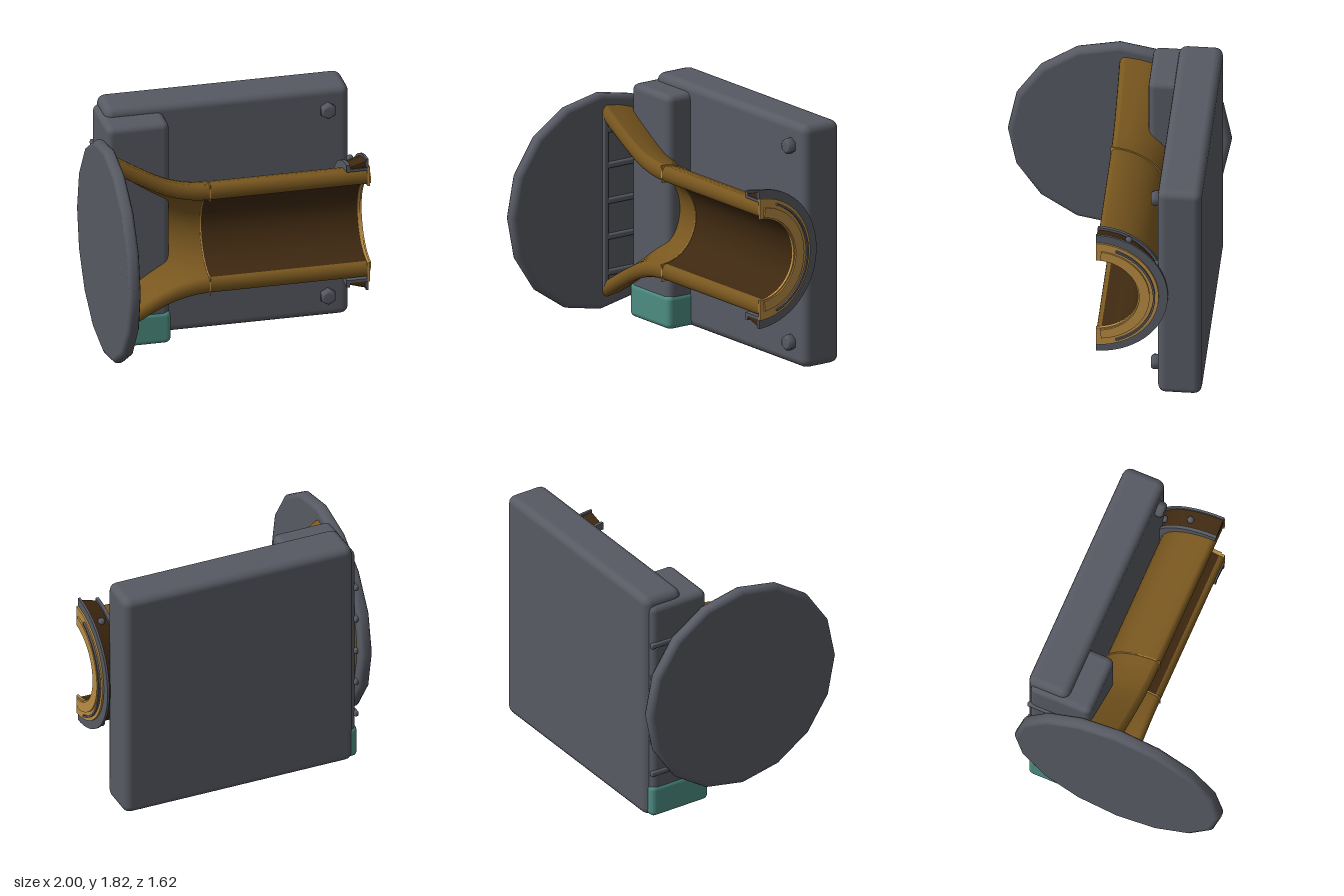
import * as THREE from 'three';
import { RoundedBoxGeometry } from 'three/addons/geometries/RoundedBoxGeometry.js';

const AXIS_Y = 0.91; // height of the horn's axis
const ARC = 20;

const paint = (name, color, side = THREE.FrontSide) => {
  const m = new THREE.MeshStandardMaterial({ color, side });
  m.name = name;
  return m;
};

// Half-tube section of [y, z] points: outer arc, rounded lip, inner arc, rounded lip
function section(ri, ro, lip) {
  const outer = [], inner = [], low = [], high = [];
  const ao = Math.asin(lip / ro), ai = Math.asin(lip / ri);
  for (let i = 0; i <= ARC; i++) {
    const f = i / ARC;
    const a = ao + (Math.PI - 2 * ao) * f;
    const b = Math.PI - ai - (Math.PI - 2 * ai) * f;
    outer.push([ro * Math.cos(a), -ro * Math.sin(a)]);
    inner.push([ri * Math.cos(b), -ri * Math.sin(b)]);
  }
  const y0 = outer[0][0], y1 = inner[ARC][0], mid = (y0 + y1) / 2, half = (y0 - y1) / 2;
  for (let i = 0; i <= 6; i++) {
    const a = Math.PI * i / 6;
    low.push([-mid - half * Math.cos(a), -lip + lip * Math.sin(a)]);
    high.push([mid - half * Math.cos(a), -lip + lip * Math.sin(a)]);
  }
  return { outer, low, inner, high };
}

// Skin a list of { x, pts } cross-sections
function loft(rows) {
  const n = rows[0].pts.length, pos = [], idx = [];
  for (const { x, pts } of rows) for (const [y, z] of pts) pos.push(x, y + AXIS_Y, z);
  for (let i = 0; i < rows.length - 1; i++) {
    for (let j = 0; j < n - 1; j++) {
      const a = i * n + j, b = a + n;
      idx.push(a, b, a + 1, b, b + 1, a + 1);
    }
  }
  const g = new THREE.BufferGeometry();
  g.setAttribute('position', new THREE.Float32BufferAttribute(pos, 3));
  g.setIndex(idx);
  g.computeVertexNormals();
  return g;
}

// Flat-ended half ring around the horn's axis, on the -z side
function halfRing(x0, x1, ri, ro, trim = 0) {
  const a = Math.PI / 2 - trim;
  const s = new THREE.Shape();
  s.absarc(0, 0, ro, -a, a, false);
  s.absarc(0, 0, ri, a, -a, true);
  const g = new THREE.ExtrudeGeometry(s, { depth: x1 - x0, bevelEnabled: false, curveSegments: ARC });
  g.rotateY(Math.PI / 2);
  g.translate(x0, AXIS_Y, 0);
  return g;
}

export function createModel() {
  const model = new THREE.Group();
  const grey = paint('slate grey', 0x575a63);
  const teal = paint('teal', 0x4c8c82);
  const bronze = paint('bronze', 0x79571f, THREE.DoubleSide);
  const dark = paint('dark brown', 0x3e2810, THREE.DoubleSide);
  const light = paint('light brass', 0xb88b44);

  const add = (name, geometry, material, parent = model) => {
    const m = new THREE.Mesh(geometry, material);
    m.name = name;
    parent.add(m);
    return m;
  };
  const block = (name, x0, x1, y0, y1, z0, z1, r, material) =>
    add(name, new RoundedBoxGeometry(x1 - x0, y1 - y0, z1 - z0, 2, r), material)
      .position.set((x0 + x1) / 2, (y0 + y1) / 2, (z0 + z1) / 2);

  // Backing slab, side block and foot
  block('backPlate', -0.87, 0.94, 0, 1.82, -0.76, -0.44, 0.06, grey);
  block('sideBlock', -0.905, -0.44, 0.05, 1.76, -0.73, -0.25, 0.05, grey);
  block('foot', -0.915, -0.43, 0.01, 0.265, -0.735, -0.24, 0.04, teal);

  // Sixteen-sided end disc with a rounded rim
  const rim = [[0, -0.045], [0.77, -0.045], [0.78, -0.045], [0.8, -0.036], [0.81, -0.018],
    [0.81, 0.018], [0.8, 0.036], [0.78, 0.045], [0.77, 0.045], [0, 0.045]];
  const disc = new THREE.LatheGeometry(rim.map(p => new THREE.Vector2(...p)), 16);
  disc.rotateZ(-Math.PI / 2);
  add('endDisc', disc, grey).position.set(-0.955, AXIS_Y, 0);

  // Ladder frame lying on the disc
  const ladder = new THREE.Group();
  ladder.name = 'ladderFrame';
  model.add(ladder);
  add('ladderPost', new RoundedBoxGeometry(0.035, 1.32, 0.04, 2, 0.012), grey, ladder)
    .position.set(-0.902, AXIS_Y, -0.02);
  for (let i = -2; i <= 2; i++) {
    add('ladderRung', new RoundedBoxGeometry(0.035, 0.045, 0.74, 2, 0.015), grey, ladder)
      .position.set(-0.902, AXIS_Y + i * 0.268, -0.37);
  }

  // Flared mouth of the horn
  const flare = new THREE.SplineCurve([[-0.92, 0.725], [-0.75, 0.62], [-0.53, 0.5], [-0.35, 0.445], [-0.2, 0.43]]
    .map(p => new THREE.Vector2(...p))).getPoints(16);
  add('hornFlare', loft(flare.map(p => {
    const s = section(p.y - 0.12, p.y, 0.04);
    return { x: p.x, pts: [...s.outer, ...s.low.slice(1), ...s.inner.slice(1), ...s.high.slice(1)] };
  })), bronze);

  // Straight half tube with a dark bore
  const tube = section(0.31, 0.43, 0.04);
  const straight = pts => loft([-0.2, 0.97].map(x => ({ x, pts })));
  add('tubeShell', straight([...tube.high, ...tube.outer.slice(1), ...tube.low.slice(1)]), bronze);
  add('tubeBore', straight(tube.inner), dark);
  add('jointRing', halfRing(-0.204, -0.196, 0.305, 0.438), light);

  // Brass end face with a raised seam
  add('endFace', halfRing(0.965, 0.985, 0.305, 0.455), light);
  add('endNose', halfRing(0.985, 0.998, 0.315, 0.39, 0.1), light);
  add('endSeam', halfRing(0.98, 1, 0.415, 0.43, 0.35), grey);

  // Collar: two flanges, a sleeve and a dark tapered band with studs
  add('innerFlange', halfRing(0.81, 0.835, 0.43, 0.485), grey);
  add('outerFlange', halfRing(0.955, 0.972, 0.455, 0.52), grey);
  add('collarSleeve', halfRing(0.82, 0.965, 0.43, 0.45), grey);
  add('collarBand', loft([[0.83, 0.465], [0.962, 0.505]].map(([x, r]) => {
    const s = section(0.45, r, 0.004);
    return { x, pts: [...s.high, ...s.outer.slice(1), ...s.low.slice(1)] };
  })), dark);
  for (const a of [28, 62, 118, 152]) {
    const t = THREE.MathUtils.degToRad(a);
    add('collarStud', new THREE.SphereGeometry(0.027, 10, 8), grey)
      .position.set(0.89, AXIS_Y + 0.49 * Math.cos(t), -0.49 * Math.sin(t));
  }

  // Hexagonal bolts with softened heads
  const boltProfile = [[0, -0.03], [0.06, -0.03], [0.06, 0.04], [0.048, 0.055], [0.04, 0.058], [0, 0.058]];
  for (const y of [0.172, 1.648]) {
    const g = new THREE.LatheGeometry(boltProfile.map(p => new THREE.Vector2(...p)), 6);
    g.rotateX(Math.PI / 2);
    add('hexBolt', g, grey).position.set(0.775, y, -0.44);
  }
  return model;
}
